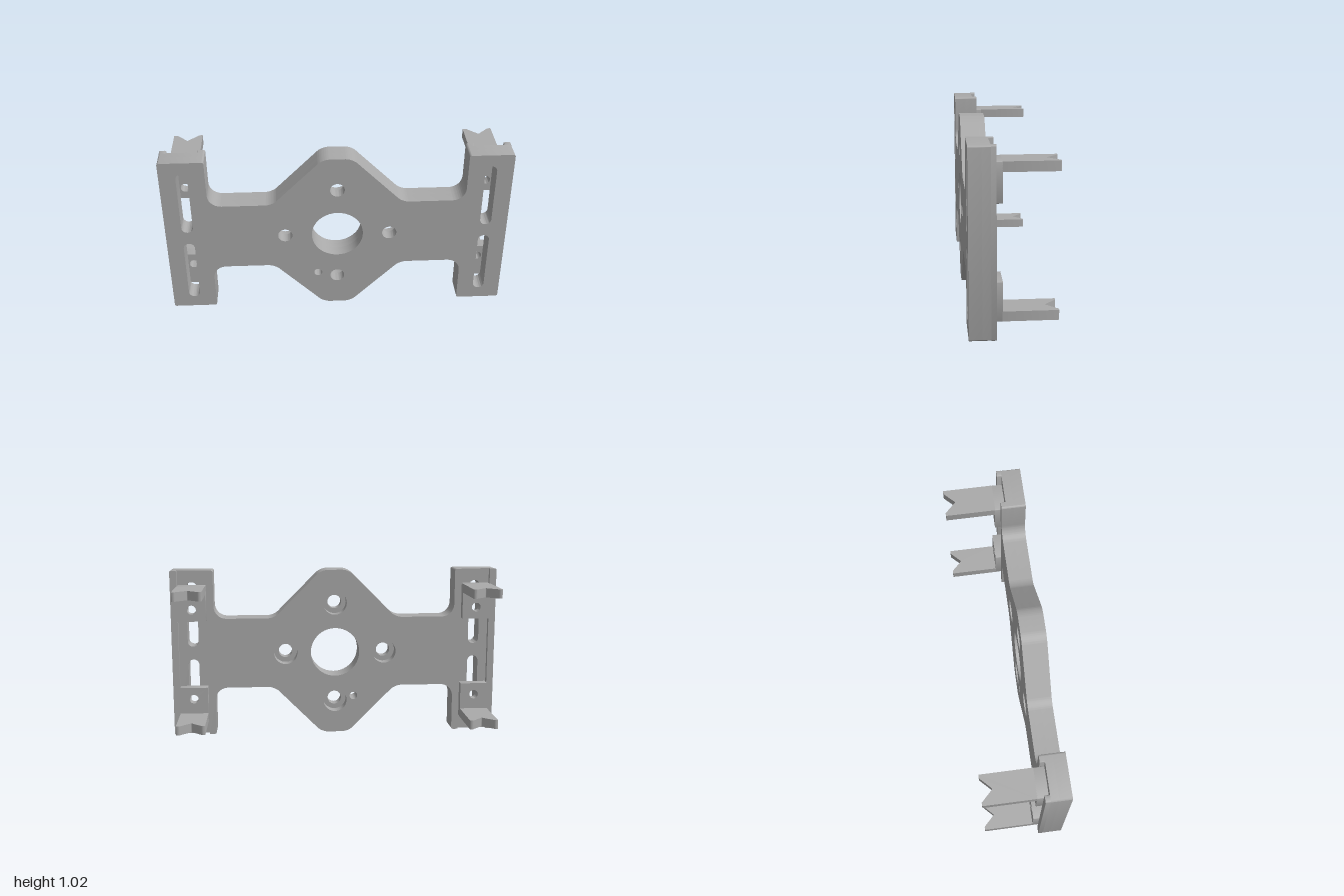
import * as THREE from 'three';
import { toCreasedNormals } from 'three/addons/utils/BufferGeometryUtils.js';

const CY = 0.509; // height of the plate centre
const H = 0.509;  // half height
const gray = new THREE.MeshStandardMaterial({ color: 0xaaaaaa });
gray.name = 'gray metal';

// Closed outline from [x, y, corner size] points, with rounded corners
function rounded(pts) {
  const s = new THREE.Shape();
  pts.forEach(([x, y, d], i) => {
    const toward = (q) => new THREE.Vector2(q[0] - x, q[1] - y).normalize();
    const a = toward(pts[(i + pts.length - 1) % pts.length]);
    const b = toward(pts[(i + 1) % pts.length]);
    const at = (v, k) => [x + v.x * k, y + v.y * k];
    if (i === 0) s.moveTo(...at(a, d)); else s.lineTo(...at(a, d));
    if (d > 0) s.bezierCurveTo(...at(a, d * 0.42), ...at(b, d * 0.42), ...at(b, d));
  });
  s.closePath();
  return s;
}

function circle(x, y, r) {
  const p = new THREE.Path();
  p.absarc(x, y, r, 0, Math.PI * 2, true);
  return p;
}

function slot(x, y0, y1, r) {
  const p = new THREE.Path();
  p.absarc(x, y1 - r, r, 0, Math.PI, false);
  p.absarc(x, y0 + r, r, Math.PI, Math.PI * 2, false);
  p.closePath();
  return p;
}

const rect = (x0, y0, x1, y1, d) => rounded([[x0, y0, d], [x1, y0, d], [x1, y1, d], [x0, y1, d]]);

function extrude(shape, z0, z1) {
  const g = new THREE.ExtrudeGeometry(shape, { depth: z1 - z0, bevelEnabled: false, curveSegments: 20 });
  g.translate(0, 0, z0);
  return g;
}

function addMesh(parent, name, geometry) {
  const m = new THREE.Mesh(toCreasedNormals(geometry, 0.5), gray);
  m.name = name;
  parent.add(m);
  return m;
}

// Plate outline: diamond hub, two arms and upright end bars reaching to edgeX
function plateOutline(edgeX, corner) {
  const quarter = [
    [edgeX, H, corner], [0.74, H, 0.012], [0.74, 0.215, 0.08],
    [0.375, 0.215, 0.04], [0.083, H, 0.04],
  ];
  const flip = (list, sx, sy) => list.map(([x, y, d]) => [x * sx, y * sy, d]);
  return rounded([
    ...quarter, ...flip(quarter, -1, 1).reverse(),
    ...flip(quarter, -1, -1), ...flip(quarter, 1, -1).reverse(),
  ]);
}

// Centre bore, four bolt holes of the given radius and a small locating hole
function hubHoles(boltRadius) {
  const holes = [circle(0, 0, 0.15), circle(-0.115, -0.279, 0.024)];
  for (const [x, y] of [[0.305, 0], [-0.305, 0], [0, 0.305], [0, -0.305]]) {
    holes.push(circle(x, y, boltRadius));
  }
  return holes;
}

function slotHoles() {
  const holes = [];
  for (const x of [-0.87, 0.87]) holes.push(slot(x, 0.04, 0.437, 0.033), slot(x, -0.437, -0.04, 0.033));
  return holes;
}

function makePlate() {
  const plate = new THREE.Group();
  plate.name = 'plate';

  const front = plateOutline(0.998, 0.012);
  front.holes.push(...hubHoles(0.042), ...slotHoles());
  addMesh(plate, 'plateFront', extrude(front, 0.165, 0.235));

  // Middle layer carries the wider bolt head recesses
  const middle = plateOutline(0.998, 0.012);
  middle.holes.push(...hubHoles(0.072), ...slotHoles());
  addMesh(plate, 'plateMiddle', extrude(middle, 0.12, 0.165));

  // Back layer leaves an open channel along each end bar
  const back = plateOutline(0.783, 0.003);
  back.holes.push(...hubHoles(0.072));
  addMesh(plate, 'plateBack', extrude(back, 0.092, 0.12));
  for (const s of [-1, 1]) {
    const a = s * 0.957, b = s * 0.998;
    addMesh(plate, 'channelRim', extrude(rect(Math.min(a, b), -H, Math.max(a, b), H, 0.008), 0.092, 0.12));
  }
  plate.position.y = CY;
  return plate;
}

// L-shaped bracket: drilled foot in the channel and a notched arm to the back
function makeBracket() {
  const bracket = new THREE.Group();
  bracket.name = 'bracket';
  const w = 0.085;

  const foot = rect(-w, 0.205, w, 0.42, 0.004);
  foot.holes.push(circle(0, 0.276, 0.027));
  addMesh(bracket, 'bracketFoot', extrude(foot, 0.057, 0.12));

  const arm = rounded([
    [-w, -0.06, 0], [w, -0.06, 0], [w, 0.235, 0.004], [0.066, 0.235, 0.004],
    [0, 0.17, 0.004], [-0.066, 0.235, 0.004], [-w, 0.235, 0.004],
  ]);
  const g = extrude(arm, 0.366, 0.42);
  g.rotateX(-Math.PI / 2);
  addMesh(bracket, 'bracketArm', g);
  return bracket;
}

export function createModel() {
  const model = new THREE.Group();
  model.name = 'mountingPlate';
  model.add(makePlate());
  for (const x of [-0.87, 0.87]) {
    for (const turn of [0, Math.PI]) {
      const bracket = makeBracket();
      bracket.position.set(x, CY, 0);
      bracket.rotation.z = turn;
      model.add(bracket);
    }
  }
  return model;
}
